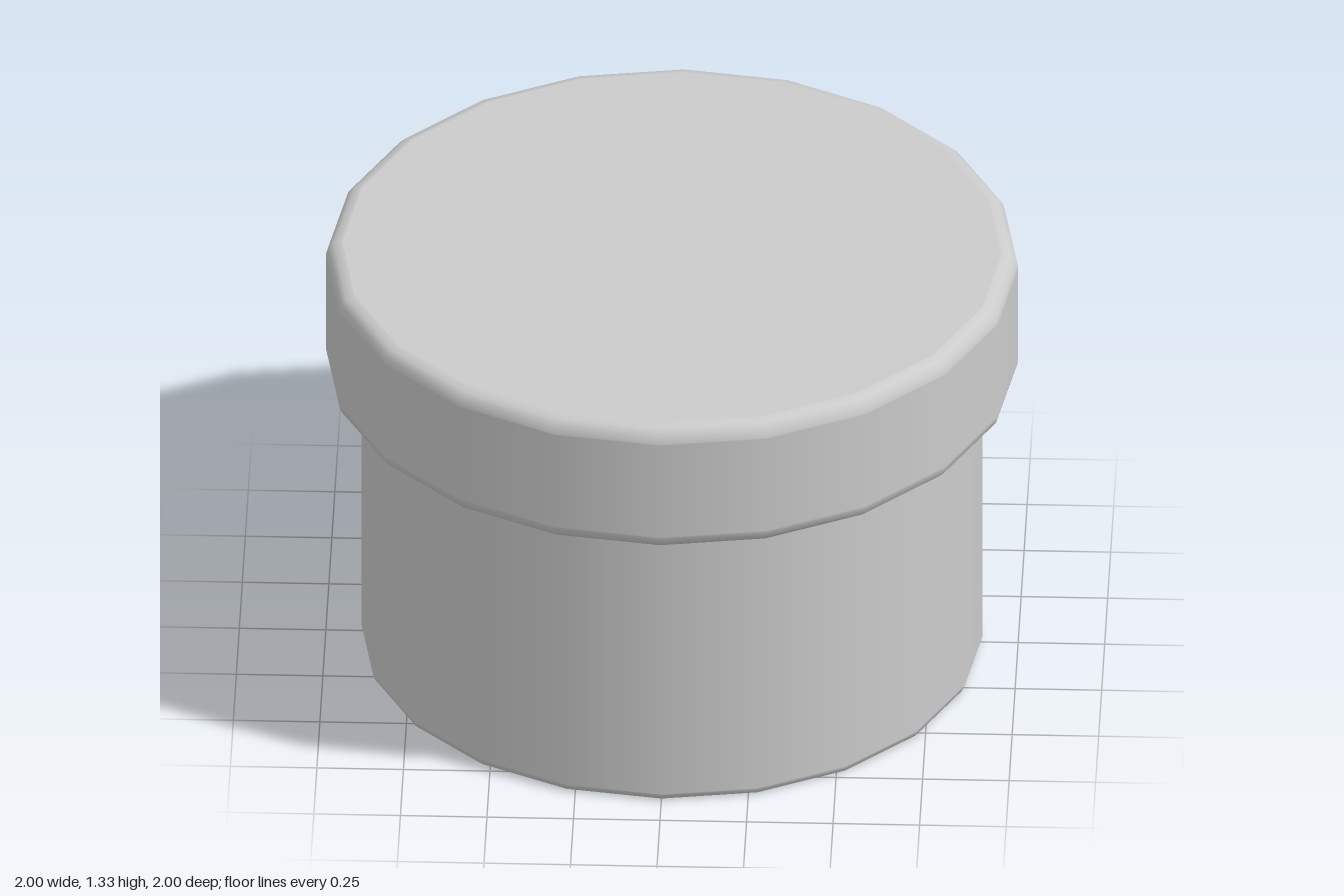
import * as THREE from 'three';

const SIDES = 20;

// Solid disc with rounded rims; a point just past each rim keeps the flats flat.
function roundedDisc(name, radius, bottom, top, lowRim, highRim, steps, material) {
  const pts = [[0, bottom]];
  const eps = 0.004;
  const rim = (r, cy, from) => {
    for (let i = 0; i <= steps; i++) {
      const a = from + (i / steps) * Math.PI / 2;
      pts.push([radius - r + r * Math.cos(a), cy + r * Math.sin(a)]);
    }
  };
  pts.push([radius - lowRim - eps, bottom]);
  rim(lowRim, bottom + lowRim, -Math.PI / 2);
  pts.push([radius, bottom + lowRim + eps], [radius, top - highRim - eps]);
  rim(highRim, top - highRim, 0);
  pts.push([radius - highRim - eps, top], [0, top]);
  const profile = pts.map(([x, y]) => new THREE.Vector2(Math.max(x, 0), y));
  const mesh = new THREE.Mesh(new THREE.LatheGeometry(profile, SIDES), material);
  mesh.name = name;
  return mesh;
}

export function createModel() {
  const group = new THREE.Group();
  group.name = 'liddedJar';
  const material = new THREE.MeshStandardMaterial({ color: 0xcccccc });

  // Body reaches a little way up inside the lid
  group.add(roundedDisc('body', 0.897, 0, 1.0, 0.02, 0.02, 2, material));
  // Wider overhanging lid
  group.add(roundedDisc('lid', 1, 0.92, 1.325, 0.04, 0.045, 3, material));
  return group;
}
